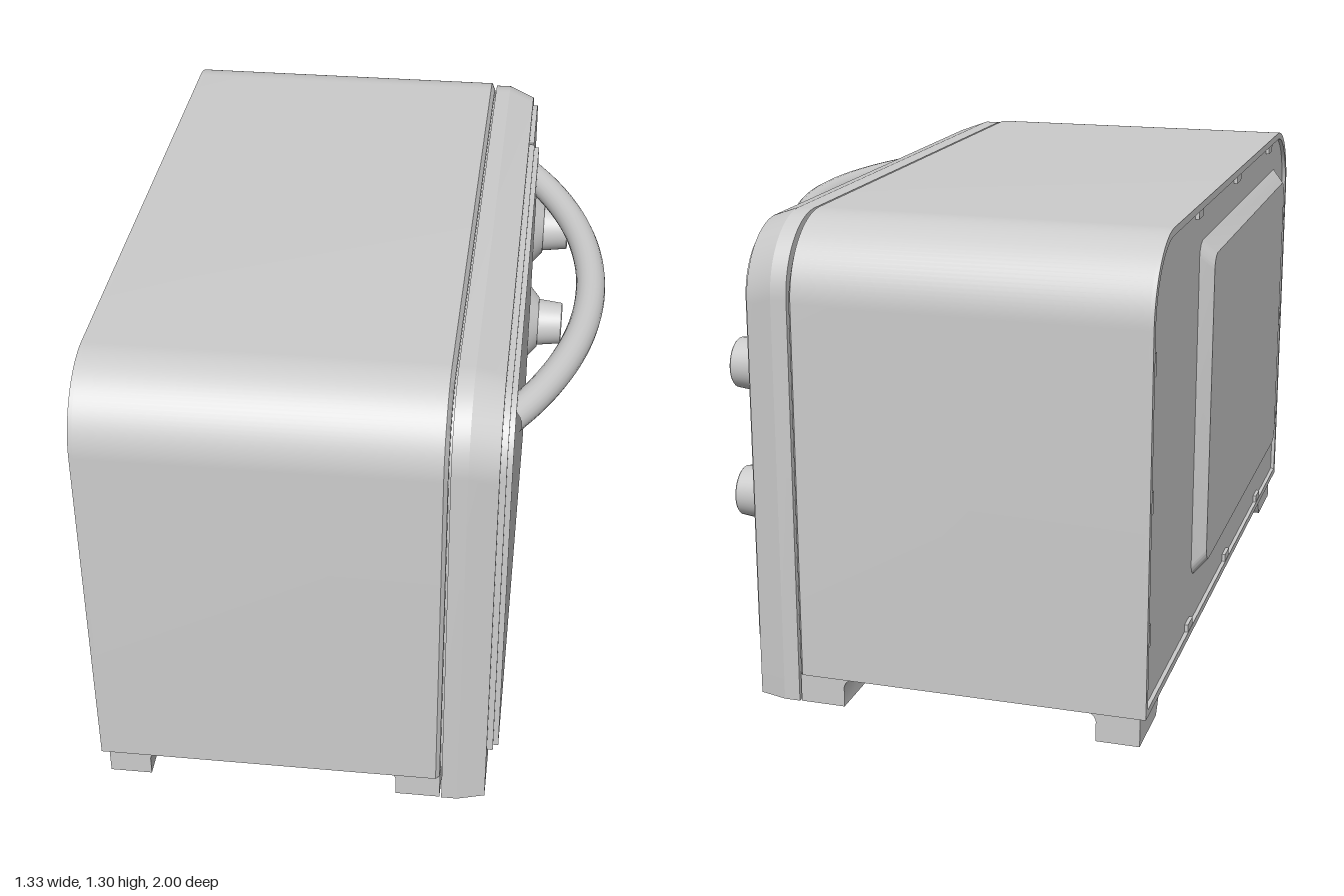
import * as THREE from 'three';
import { toCreasedNormals } from 'three/addons/utils/BufferGeometryUtils.js';

const material = new THREE.MeshStandardMaterial({ color: 0xcccccc });

export function createModel() {
  const model = new THREE.Group();

  const add = (name, geometry, parent = model) => {
    const mesh = new THREE.Mesh(geometry, material);
    mesh.name = name;
    parent.add(mesh);
    return mesh;
  };

  // Rectangle with its own radius for each corner; u runs along -z
  const outline = (u0, u1, y0, y1, topL, topR, botL = 0, botR = 0, Type = THREE.Shape) => {
    const s = new Type();
    const corner = (x, y, r, a) => {
      if (r) s.absarc(x, y, r, a, a + Math.PI / 2, false);
      else s.lineTo(x, y);
    };
    s.moveTo(u0 + botL, y0);
    corner(u1 - botR, y0 + botR, botR, -Math.PI / 2);
    corner(u1 - topR, y1 - topR, topR, 0);
    corner(u0 + topL, y1 - topL, topL, Math.PI / 2);
    if (botL) corner(u0 + botL, y0 + botL, botL, Math.PI);
    s.closePath();
    return s;
  };

  // Extrude an outline from x0 to x1, scaling the far end about (cu, cy)
  const slab = (shape, x0, x1, su = 1, sy = su, cu = 0, cy = 0) => {
    const g = new THREE.ExtrudeGeometry(shape, { depth: x1 - x0, bevelEnabled: false, curveSegments: 14 });
    const p = g.attributes.position;
    for (let i = 0; i < p.count; i++) {
      if (p.getZ(i) > (x1 - x0) / 2) {
        p.setX(i, cu + (p.getX(i) - cu) * su);
        p.setY(i, cy + (p.getY(i) - cy) * sy);
      }
    }
    g.rotateY(Math.PI / 2).translate(x0, 0, 0);
    return toCreasedNormals(g, 0.45);
  };

  // Housing: wrapped body, chamfered front edge, recessed neck and back rim
  const body = outline(-1, 1, 0.083, 1.3, 0.21, 0.21);
  add('body', slab(body, -0.632, 0.286));
  add('bodyFrontChamfer', slab(body, 0.286, 0.296, 0.986));
  add('bodyNeck', slab(outline(-0.965, 0.965, 0.095, 1.265, 0.19, 0.19), 0.29, 0.31));
  const rim = outline(-1, 1, 0.083, 1.3, 0.21, 0.21);
  rim.holes.push(outline(-0.98, 0.98, 0.103, 1.28, 0.19, 0.19, 0, 0, THREE.Path));
  add('backRim', slab(rim, -0.643, -0.632));

  // Raised panel on the back: the far end is the wide base
  const w = 0.585, h = 0.437, cz = 0.205, cy = 0.71;
  add('backPanel', slab(outline(-cz - w, -cz + w, cy - h, cy + h, 0.04, 0.04, 0.04, 0.04),
    -0.668, -0.63, 1.055, 1.09, -cz, cy));

  // Small clips around the back rim
  const clip = (y, z, dy, dz) => add('backClip', new THREE.BoxGeometry(0.012, dy, dz)).position.set(-0.636, y, z);
  for (const z of [-0.45, 0.1, 0.65]) {
    clip(1.272, z, 0.025, 0.06);
    clip(0.112, z, 0.025, 0.06);
  }
  for (const y of [0.3, 0.65, 1.0]) for (const side of [-1, 1]) clip(y, side * 0.973, 0.06, 0.025);

  // Front frame with two legs and an arched underside
  const frame = new THREE.Shape();
  frame.moveTo(-0.987, 0);
  frame.lineTo(-0.8, 0);
  frame.bezierCurveTo(-0.77, 0.03, -0.77, 0.08, -0.7, 0.08);
  frame.lineTo(0.7, 0.08);
  frame.bezierCurveTo(0.77, 0.08, 0.77, 0.03, 0.8, 0);
  frame.lineTo(0.987, 0);
  frame.lineTo(0.987, 1.095);
  frame.absarc(0.787, 1.095, 0.2, 0, Math.PI / 2, false);
  frame.lineTo(-0.787, 1.295);
  frame.absarc(-0.787, 1.095, 0.2, Math.PI / 2, Math.PI, false);
  frame.closePath();
  add('frontFrame', slab(frame, 0.302, 0.345));
  add('frontFrameBevel', slab(frame, 0.345, 0.42, 0.979));

  // Door in two steps, and the control panel
  add('doorBase', slab(outline(-0.945, 0.54, 0.155, 1.24, 0.17, 0), 0.41, 0.436));
  add('doorFace', slab(outline(-0.93, 0.54, 0.16, 1.232, 0.16, 0), 0.436, 0.45));
  add('controlPanel', slab(outline(0.552, 0.94, 0.155, 1.24, 0, 0.16), 0.41, 0.434));

  // Bowed handle, an arc in the horizontal plane
  const R = 1.217, path = [];
  for (let i = 0; i <= 16; i++) {
    const a = (i / 8 - 1) * 0.57;
    path.push(new THREE.Vector3(-0.595 + R * Math.cos(a), 1.16, 0.155 + R * Math.sin(a)));
  }
  add('handle', new THREE.TubeGeometry(new THREE.CatmullRomCurve3(path), 48, 0.04, 20));

  // Knobs with flared collars
  const profile = [[0.126, 0], [0.126, 0.006], [0.11, 0.02], [0.083, 0.043], [0.077, 0.044],
    [0.068, 0.119], [0.065, 0.122], [0, 0.122]].map(([r, y]) => new THREE.Vector2(r, y));
  const knobGeometry = toCreasedNormals(new THREE.LatheGeometry(profile, 40).rotateZ(-Math.PI / 2), 0.5);
  for (const y of [0.85, 0.485]) add('knob', knobGeometry).position.set(0.433, y, -0.735);

  // Oval indicator light
  const light = add('indicatorLight', new THREE.CylinderGeometry(1, 1, 0.006, 28).rotateZ(-Math.PI / 2));
  light.scale.set(1, 0.018, 0.032);
  light.position.set(0.436, 0.22, -0.735);

  // Feet: inner sides flare into the body along both directions
  const footProfile = (outer, inner, flare) => {
    const s = new THREE.Shape();
    const d = Math.sign(inner - outer) * flare;
    s.moveTo(outer, 0.085);
    s.lineTo(outer, 0);
    s.lineTo(inner, 0);
    s.lineTo(inner, 0.055);
    s.quadraticCurveTo(inner + d * 0.1, 0.08, inner + d, 0.085);
    s.closePath();
    return s;
  };
  for (const side of [-1, 1]) {
    for (const [outer, inner] of [[-0.625, -0.51], [0.297, 0.175]]) {
      const foot = new THREE.Group();
      foot.name = 'foot';
      model.add(foot);
      const across = new THREE.ExtrudeGeometry(footProfile(outer, inner, 0.045),
        { depth: 0.185, bevelEnabled: false, curveSegments: 8 });
      across.translate(0, 0, side > 0 ? 0.8 : -0.985);
      add('footBlock', toCreasedNormals(across, 0.45), foot);
      const ramp = new THREE.Shape();
      ramp.moveTo(-side * 0.8, 0);
      ramp.bezierCurveTo(-side * 0.77, 0.03, -side * 0.77, 0.08, -side * 0.7, 0.085);
      ramp.lineTo(-side * 0.8, 0.085);
      ramp.closePath();
      add('footRamp', slab(ramp, Math.min(outer, inner), Math.max(outer, inner)), foot);
    }
  }

  return model;
}
